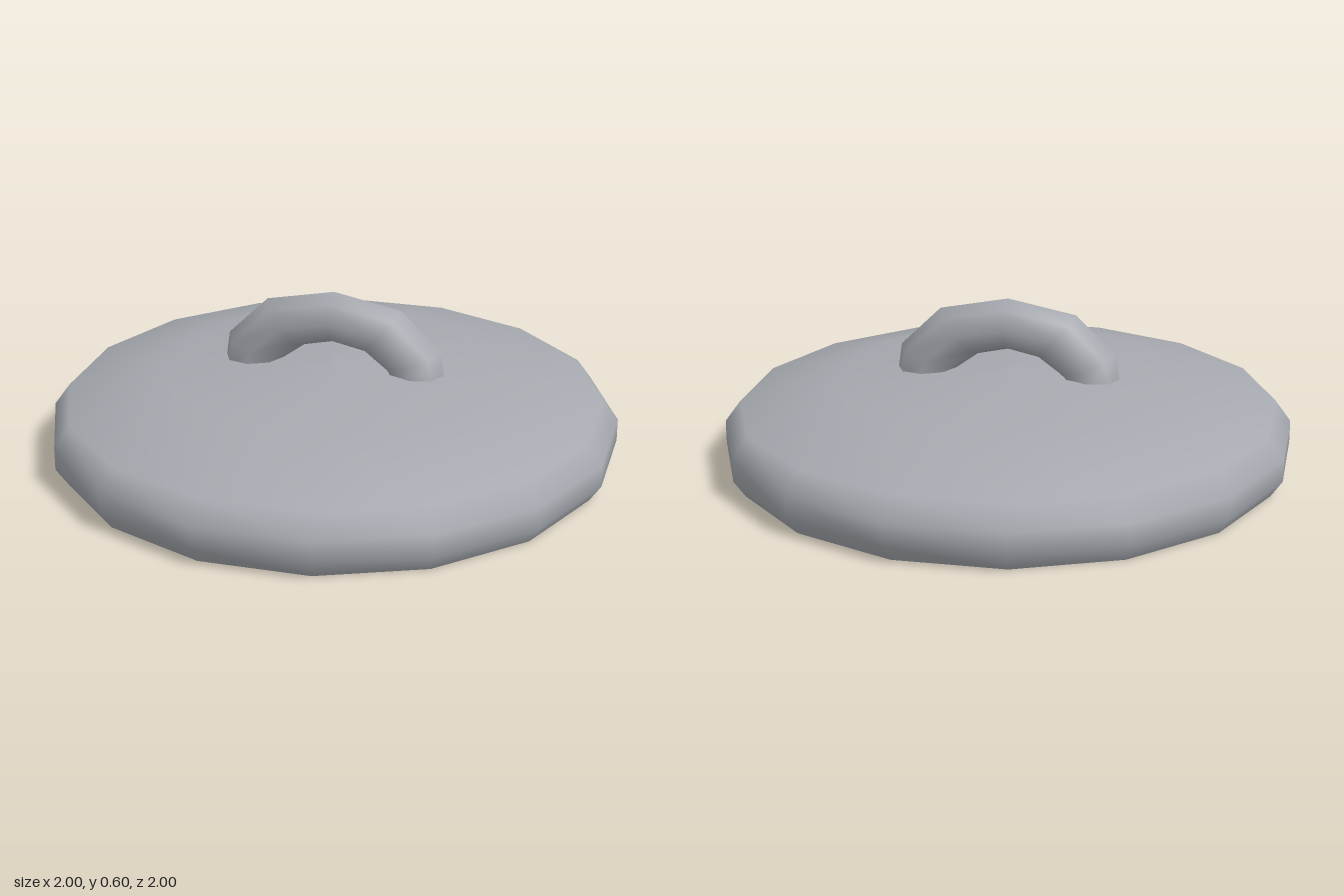
import * as THREE from 'three';

const SIDES = 16;
const HALF_STEP = Math.PI / SIDES;
const TO_CORNER = 1 / Math.cos(HALF_STEP); // flat-to-flat radius -> corner radius

// Arched handle: rings of 8 points spanning an inner and an outer outline
function archGeometry(rings, depth, sides = 8) {
  const positions = [], index = [];
  for (const [ox, oy, ix, iy] of rings) {
    const cx = (ox + ix) / 2, cy = (oy + iy) / 2;
    for (let j = 0; j < sides; j++) {
      const a = (j / sides) * Math.PI * 2, c = Math.cos(a);
      positions.push(cx + (ox - cx) * c, cy + (oy - cy) * c, Math.sin(a) * depth);
    }
  }
  for (let i = 0; i < rings.length - 1; i++) {
    for (let j = 0; j < sides; j++) {
      const a = i * sides + j, b = i * sides + (j + 1) % sides;
      index.push(a, a + sides, b, b, a + sides, b + sides);
    }
  }
  const geometry = new THREE.BufferGeometry();
  geometry.setAttribute('position', new THREE.Float32BufferAttribute(positions, 3));
  geometry.setIndex(index);
  geometry.computeVertexNormals();
  return geometry;
}

export function createModel() {
  const group = new THREE.Group();
  group.name = 'potLid';
  const metal = new THREE.MeshStandardMaterial({ color: 0xa6aab0 });
  metal.name = 'greyMetal';

  const add = (name, geometry) => {
    const mesh = new THREE.Mesh(geometry, metal);
    mesh.name = name;
    group.add(mesh);
    return mesh;
  };

  // Domed lid with a rounded rim
  const profile = [[0.96, 0], [1, 0.06], [1, 0.14], [0.945, 0.217], [0.59, 0.315], [0, 0.343]]
    .map(([r, y]) => new THREE.Vector2(r * TO_CORNER, y));
  add('lidDome', new THREE.LatheGeometry(profile, SIDES, HALF_STEP));

  // Flat underside
  const base = new THREE.CircleGeometry(0.96 * TO_CORNER, SIDES, HALF_STEP);
  base.rotateX(Math.PI / 2);
  add('lidUnderside', base);

  // Handle: [outer x, outer y, inner x, inner y] from one foot to the crown, then mirrored
  const half = [
    [0.405, 0.305, 0.205, 0.305],
    [0.39, 0.41, 0.185, 0.335],
    [0.245, 0.552, 0.11, 0.39],
  ];
  const mirrored = half.map(([ox, oy, ix, iy]) => [-ox, oy, -ix, iy]).reverse();
  add('handle', archGeometry([...half, [0, 0.6, 0, 0.414], ...mirrored], 0.09));

  return group;
}
